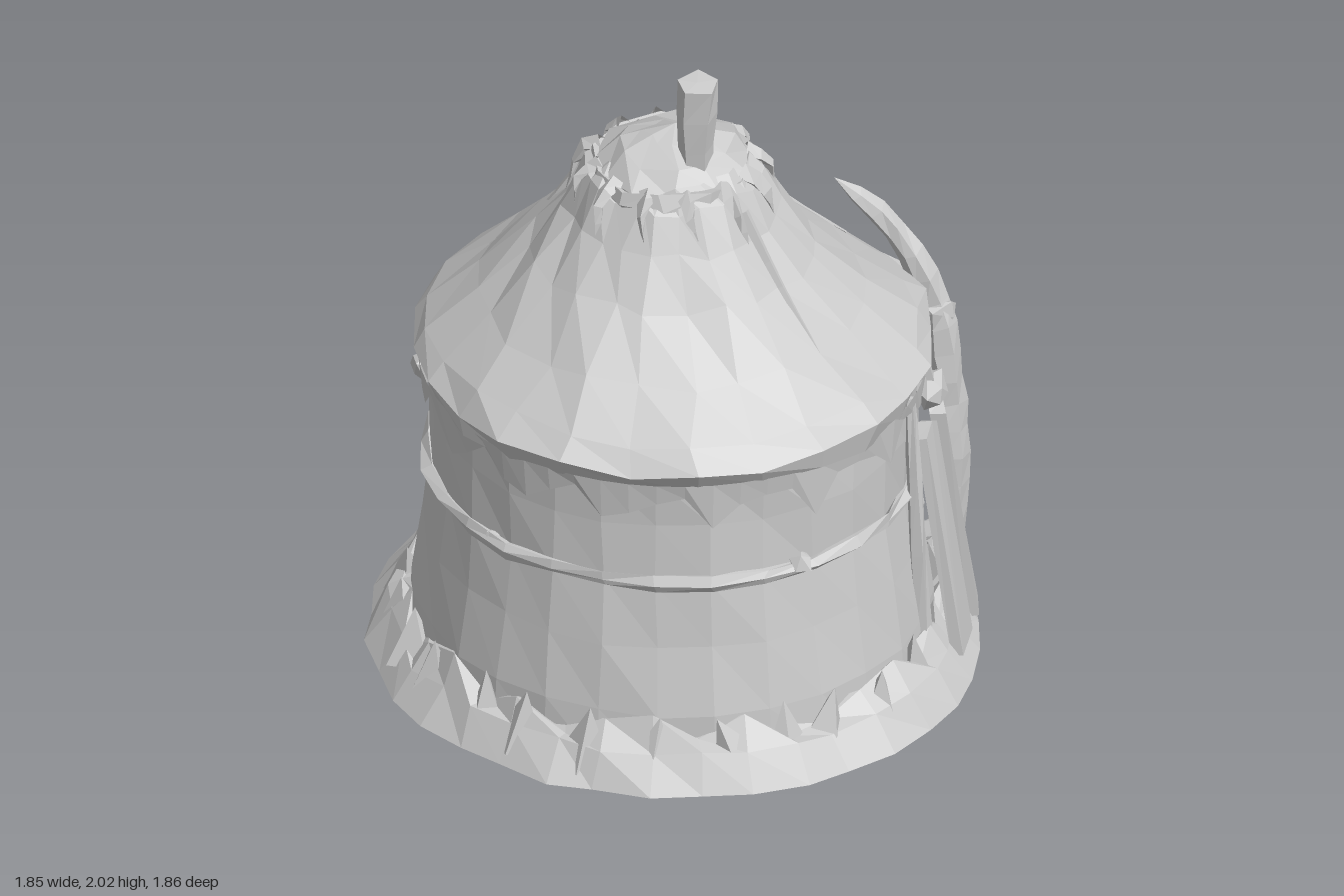
import * as THREE from 'three';

const V = (x, y, z) => new THREE.Vector3(x, y, z);
let seed = 7;
const rand = () => (seed = (seed * 16807) % 2147483647) / 2147483647;

export function createModel() {
  const root = new THREE.Group();
  root.name = 'roundTent';
  const felt = new THREE.MeshStandardMaterial({ color: 0xcccccc, side: THREE.DoubleSide });
  felt.name = 'paleGrey';

  // Faceted mesh; nearby corners move together so the surface stays closed
  function add(name, geo, jitter = 0, parent = root) {
    const p = geo.attributes.position;
    const hash = (a, b, c, k) => {
      const s = Math.sin(Math.round(a * 500) * 12.99 + Math.round(b * 500) * 78.23 + Math.round(c * 500) * 37.72 + k) * 43758.5453;
      return s - Math.floor(s) - 0.5;
    };
    for (let i = 0; jitter && i < p.count; i++) {
      const x = p.getX(i), y = p.getY(i), z = p.getZ(i);
      p.setXYZ(i, x + jitter * hash(x, y, z, 1), y + (Math.abs(y) > 0.01 ? jitter * hash(x, y, z, 2) : 0), z + jitter * hash(x, y, z, 3));
    }
    const flat = geo.index ? geo.toNonIndexed() : geo;
    flat.computeVertexNormals();
    const mesh = new THREE.Mesh(flat, felt);
    mesh.name = name;
    parent.add(mesh);
    return mesh;
  }
  const lathe = (pts, n) => new THREE.LatheGeometry(pts.map(([r, y]) => new THREE.Vector2(r, y)), n);

  // Swept shape with its radius given along the path
  function sweep(name, pts, n, sides, radius, jitter = 0) {
    const curve = new THREE.CatmullRomCurve3(pts);
    const geo = new THREE.TubeGeometry(curve, n, 1, sides);
    const p = geo.attributes.position, v = V(0, 0, 0);
    for (let i = 0; i < p.count; i++) {
      const t = Math.floor(i / (sides + 1)) / n, c = curve.getPointAt(t);
      v.fromBufferAttribute(p, i).sub(c).multiplyScalar(radius(t)).add(c);
      p.setXYZ(i, v.x, v.y, v.z);
    }
    return add(name, geo, jitter);
  }
  // Straight pole between two points
  function pole(name, a, b, r0, r1, sides = 6, jitter = 0.012) {
    const m = add(name, new THREE.CylinderGeometry(r1, r0, a.distanceTo(b), sides, 3), jitter);
    m.position.copy(a).lerp(b, 0.5);
    m.quaternion.setFromUnitVectors(V(0, 1, 0), b.clone().sub(a).normalize());
    return m;
  }
  function rock(name, pos, r, parent = root) {
    const m = add(name, new THREE.IcosahedronGeometry(r, 0), r * 0.6, parent);
    m.position.copy(pos);
    m.rotation.set(rand() * 3, rand() * 3, rand() * 3);
    return m;
  }
  const polar = (a, r, y) => V(-0.02 + 0.975 * r * Math.sin(a), y, r * Math.cos(a));

  // Wall and roof
  const wall = add('wall', lathe([[0.8, 0.02], [0.79, 0.2], [0.76, 0.42], [0.735, 0.63], [0.735, 0.83], [0.74, 1.0]], 28), 0.015);
  const roof = add('roof', lathe([[0.72, 0.97], [0.765, 0.98], [0.795, 1.04], [0.74, 1.1], [0.59, 1.23], [0.43, 1.385],
    [0.33, 1.52], [0.26, 1.64], [0.2, 1.68]], 24), 0.035);
  for (const m of [wall, roof]) { m.position.x = -0.02; m.scale.x = 0.975; }

  // Earth skirt with a jagged upper edge, low under the door, and a closed floor
  const skirtGeo = lathe([[0, 0], [0.935, 0], [0.868, 0.1], [0.81, 0.17], [0.76, 0.14]], 36);
  const sp = skirtGeo.attributes.position;
  for (let i = 0; i < sp.count; i++) {
    const edge = i % 5, col = Math.floor(i / 5) % 36;
    const doorway = col >= 9 && col <= 12;
    if (edge === 3) sp.setY(i, doorway ? 0.06 : 0.11 + 0.1 * (((col * 7) % 5) / 4));
    if (doorway && edge === 2) sp.setY(i, 0.04);
    if (doorway && edge === 4) sp.setY(i, 0.06);
  }
  const skirt = add('earthSkirt', skirtGeo, 0.035);
  skirt.position.x = -0.015;
  skirt.scale.x = 0.97;
  for (let i = 0; i < 26; i++) {
    const a = i / 26 * Math.PI * 2 + rand() * 0.1;
    if (a > 1.5 && a < 2.3) continue;
    const s = add('skirtShard', new THREE.ConeGeometry(0.085, 0.15 + 0.07 * rand(), 4), 0.03);
    s.position.copy(polar(a, 0.815, 0.125));
    s.rotation.set(0, a, (rand() - 0.5) * 0.9);
  }

  // Torn cloth fringe under the eave
  const fringe = [];
  const n = 56;
  for (let i = 0; i < n; i++) {
    const at = k => k / n * Math.PI * 2;
    const drop = k => 0.81 + 0.12 * Math.abs(Math.sin((k % n) * 2.3)) + (k % 2 ? 0.03 : 0);
    const [a, b, c, d] = [polar(at(i), 0.77, 0.995), polar(at(i), 0.757, drop(i)),
      polar(at(i + 1), 0.757, drop(i + 1)), polar(at(i + 1), 0.77, 0.995)];
    for (const q of [a, b, c, a, c, d]) fringe.push(q.x, q.y, q.z);
  }
  const fringeGeo = new THREE.BufferGeometry();
  fringeGeo.setAttribute('position', new THREE.Float32BufferAttribute(fringe, 3));
  add('eaveFringe', fringeGeo);

  // Girdle rope and knots
  const ring = (name, r, y, tube, segs, jitter) => {
    const m = add(name, new THREE.TorusGeometry(r, tube, 5, segs).rotateX(Math.PI / 2), jitter);
    m.position.set(-0.02, y, 0);
    m.scale.x = 0.975;
  };
  ring('girdleRope', 0.738, 0.635, 0.024, 28, 0.02);
  rock('ropeKnot', V(-0.06, 0.65, 0.74), 0.035);
  rock('ropeKnot', V(-0.72, 0.64, 0.1), 0.03);

  // Wall seams
  for (const a of [0.67, Math.PI + 0.15]) pole('wallSeam', polar(a, 0.79, 0.15), polar(a, 0.745, 0.97), 0.028, 0.02, 5);

  // Roof creases lying almost flush
  for (const [a, r] of [[0.25, 0.6], [1.72, 0.72], [2.95, 0.6], [3.7, 0.6]]) {
    sweep('roofCrease', [polar(a, 0.28, 1.595), polar(a + 0.03, 0.43, 1.375), polar(a, r, r > 0.7 ? 1.105 : 1.21)], 6, 4,
      t => 0.016 * (1 - t) + 0.004);
  }

  // Crown cap, its lumpy rolled rim and hanging ties
  const cap = add('crownCap', lathe([[0.19, 1.6], [0.235, 1.61], [0.235, 1.67], [0.17, 1.725], [0.08, 1.76], [0, 1.775]], 11), 0.03);
  cap.position.x = -0.02;
  ring('crownRoll', 0.228, 1.635, 0.042, 11, 0.035);
  for (let i = 0; i < 12; i++) {
    const a = i / 12 * Math.PI * 2 + 0.1, len = 0.06 + 0.09 * rand();
    sweep('crownTie', [polar(a, 0.22, 1.67), polar(a, 0.285, 1.64), polar(a + 0.06, 0.28 + len * 0.45, 1.62 - len)],
      4, 4, t => 0.034 * (1 - t), 0.012);
  }

  // Smoke pipe
  pole('smokePipe', V(-0.02, 1.66, 0.12), V(-0.02, 2.0, 0.135), 0.05, 0.062, 5, 0.012);

  // Curved tusks beside the door
  const tuskRadius = t => t === 0 ? 0 : 0.063 * Math.pow(1 - t, 0.32);
  const tusk = pts => sweep('tusk', pts, 16, 6, tuskRadius, 0.014);
  tusk([V(0.82, 0.08, 0.2), V(0.85, 0.4, 0.19), V(0.845, 0.75, 0.165), V(0.8, 1.02, 0.12), V(0.71, 1.22, 0.04), V(0.58, 1.37, -0.02)]);
  tusk([V(0.62, 0.08, -0.63), V(0.63, 0.4, -0.69), V(0.62, 0.75, -0.69), V(0.59, 1.02, -0.59), V(0.54, 1.22, -0.45), V(0.48, 1.37, -0.33)]);
  for (const [x, y, z, r] of [[0.81, 0.17, 0.2, 0.075], [0.79, 0.06, 0.19, 0.055], [0.62, 0.2, -0.66, 0.075], [0.64, 0.07, -0.6, 0.08],
    [0.83, 0.9, 0.14, 0.06], [0.61, 0.94, -0.62, 0.06]]) rock('tuskBinding', V(x, y, z), r);

  // Lintel log over the door
  pole('lintelLog', V(0.83, 0.885, 0.06), V(0.645, 0.885, -0.57), 0.088, 0.08, 8, 0.025);
  rock('lintelKnot', V(0.83, 0.88, 0.0), 0.09);
  rock('lintelKnot', V(0.66, 0.88, -0.53), 0.085);

  // Door, facing outward between the tusks
  const door = new THREE.Group();
  door.name = 'door';
  door.position.set(0.727, 0, -0.262);
  door.rotation.y = 1.9;
  root.add(door);
  const box = (name, x, y, z, w, h, d, jitter = 0) => {
    const m = add(name, new THREE.BoxGeometry(w, h, d, 1, 3, 1), jitter, door);
    m.position.set(x, y, z);
  };
  box('doorPanel', 0, 0.4, 0.0, 0.42, 0.7, 0.06);
  for (const s of [-1, 1]) {
    box('doorJamb', s * 0.25, 0.43, 0.0, 0.065, 0.74, 0.13, 0.018);
    box('doorStile', s * 0.185, 0.4, 0.03, 0.04, 0.7, 0.08);
    box('panelEdge', s * 0.15, 0.41, 0.028, 0.014, 0.56, 0.03);
    rock('jambFoot', V(s * 0.26, 0.15, 0.04), 0.05, door);
    rock('jambHead', V(s * 0.25, 0.62, 0.04), 0.04, door);
  }
  box('doorHead', 0, 0.75, 0.03, 0.42, 0.05, 0.08);
  box('doorRail', 0, 0.69, 0.028, 0.3, 0.014, 0.03);
  box('doorRail', 0, 0.17, 0.028, 0.33, 0.05, 0.05);
  box('doorSill', 0, 0.07, 0.045, 0.42, 0.05, 0.09);
  rock('doorKnob', V(0.175, 0.375, 0.09), 0.033, door);

  // Leaning boards
  function board(a, b, w, turn) {
    const shape = new THREE.Shape();
    const len = a.distanceTo(b);
    [[-w / 2, 0], [w / 2, 0], [w * 0.4, len - 0.03], [w * 0.1, len], [-w * 0.35, len - 0.02]]
      .forEach(([x, y], i) => i ? shape.lineTo(x, y) : shape.moveTo(x, y));
    const geo = new THREE.ExtrudeGeometry(shape, { depth: 0.04, bevelEnabled: false });
    const m = add('leaningBoard', geo, 0.01);
    m.position.copy(a);
    const up = b.clone().sub(a).normalize();
    const side = V(Math.cos(turn), 0, -Math.sin(turn));
    side.addScaledVector(up, -side.dot(up)).normalize();
    m.quaternion.setFromRotationMatrix(new THREE.Matrix4().makeBasis(side, up, side.clone().cross(up)));
  }
  board(V(0.6, 0.05, 0.58), V(0.54, 0.78, 0.47), 0.17, 0.8);
  board(V(0.75, 0.03, 0.41), V(0.635, 0.78, 0.39), 0.1, 1.05);

  // Pegs under the eave
  for (const [x, z] of [[0.57, 0.51], [-0.59, -0.46], [0.25, -0.73]]) {
    rock('eavePeg', V(x, 0.91, z), 0.055);
    pole('pegCord', V(x * 0.97, 1.0, z * 0.97), V(x, 0.91, z), 0.015, 0.015, 4, 0);
  }

  // Bundle of bones and twigs hung on the rear wall, deepest near the ground
  for (let i = 0; i < 44; i++) {
    const a = 2.74 + rand() * 0.32, y = 0.1 + rand() * 0.55;
    const r = 0.85 - 0.12 * y + 0.05 * rand();
    pole('hungTwig', polar(a, r, y), polar(a + (rand() - 0.5) * 0.2, r - 0.02 + 0.03 * rand(), y + 0.04 + 0.09 * rand()), 0.025, 0.014, 4, 0.01);
    if (i % 3 === 0) rock('hungBone', polar(a, r - 0.01, y), 0.045);
  }
  pole('bundleStake', polar(2.7, 0.83, 0.1), polar(2.7, 0.77, 0.85), 0.025, 0.02, 5);
  return root;
}
